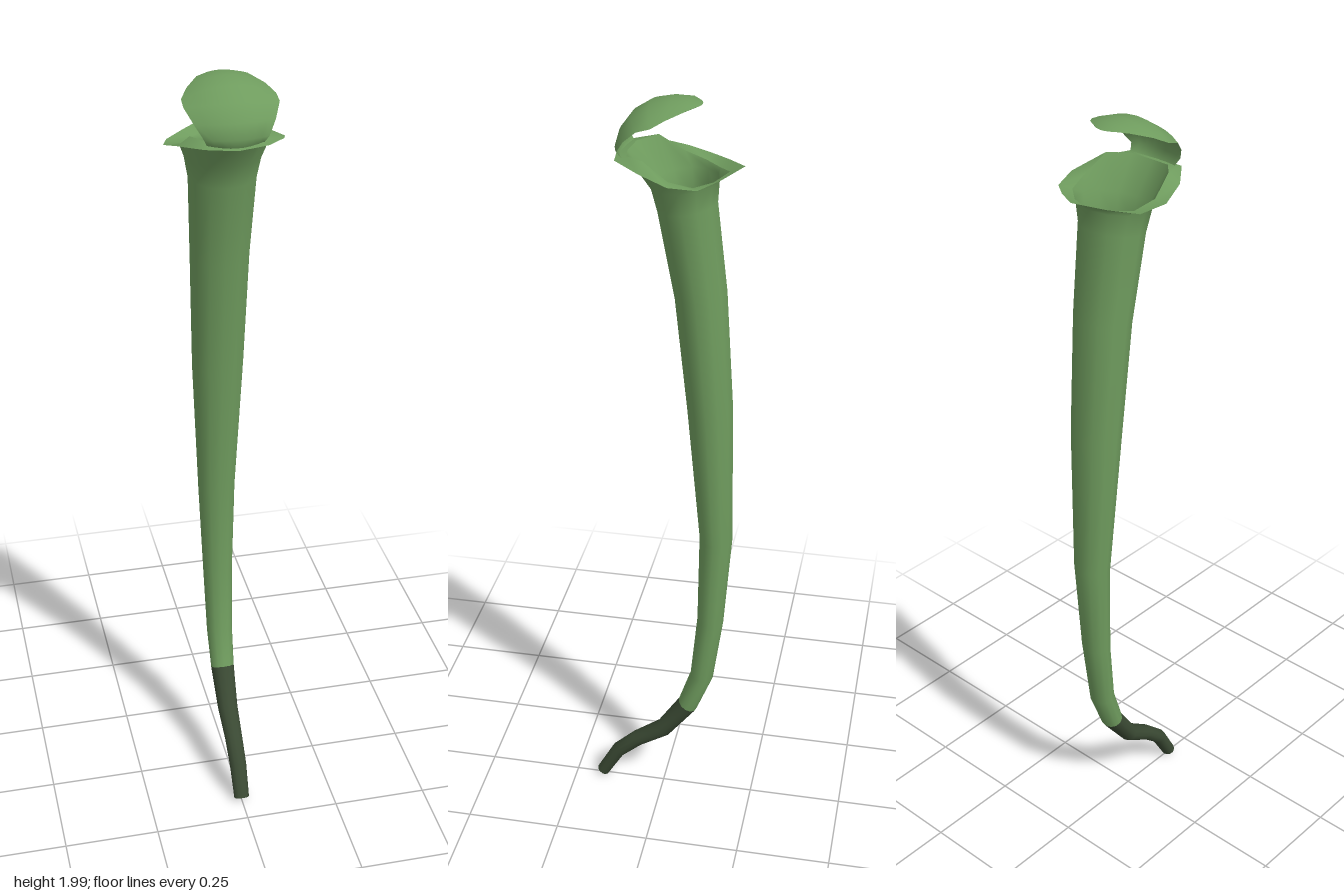
import * as THREE from 'three';

const SIDES = 12;

// Surface through rows of [x, y, z] points
function loft(rows, closed) {
  const n = rows[0].length, index = [];
  for (let r = 0; r < rows.length - 1; r++) {
    for (let i = 0; i < (closed ? n : n - 1); i++) {
      const j = (i + 1) % n;
      const a = r * n + i, b = r * n + j, c = a + n, d = b + n;
      index.push(a, c, b, b, c, d);
    }
  }
  const g = new THREE.BufferGeometry();
  g.setAttribute('position', new THREE.Float32BufferAttribute(rows.flat(2), 3));
  g.setIndex(index);
  g.computeVertexNormals();
  return g;
}

// Rings square to a path in the yz plane; sections are [z, y, radius]
function pathRings(sections) {
  return sections.map(([z, y, r], k) => {
    const p = sections[Math.max(k - 1, 0)], q = sections[Math.min(k + 1, sections.length - 1)];
    const len = Math.hypot(q[0] - p[0], q[1] - p[1]);
    const tz = (q[0] - p[0]) / len, ty = (q[1] - p[1]) / len;
    return Array.from({ length: SIDES }, (_, i) => {
      const a = (i / SIDES) * Math.PI * 2, s = -Math.cos(a) * r;
      return [Math.sin(a) * r * 1.15, y - s * tz, z + s * ty];
    });
  });
}

// Full ring from a half outline running back to front
function mirrored(half) {
  return [...half, ...half.slice(1, -1).reverse().map(([x, y, z]) => [-x, y, z])];
}

export function createModel() {
  const group = new THREE.Group();
  const leafGreen = new THREE.MeshStandardMaterial({ color: 0x6f9c5e, side: THREE.DoubleSide });
  leafGreen.name = 'leaf green';
  const darkGreen = new THREE.MeshStandardMaterial({ color: 0x3a4933, side: THREE.DoubleSide });
  darkGreen.name = 'dark stem green';
  const add = (name, geometry, material) => {
    const mesh = new THREE.Mesh(geometry, material);
    mesh.name = name;
    group.add(mesh);
  };

  // One path for stem and pitcher, so they meet on a shared ring
  const rings = pathRings([
    [0.175, 0.016, 0.018], [0.13, 0.095, 0.02], [0.075, 0.145, 0.021], [0, 0.195, 0.024],
    [-0.068, 0.29, 0.028], [-0.106, 0.395, 0.031], [-0.127, 0.58, 0.035], [-0.138, 0.84, 0.043],
    [-0.117, 1.22, 0.058], [-0.09, 1.53, 0.065], [-0.056, 1.75, 0.073], [-0.05, 1.805, 0.082],
  ]);
  add('stem', loft(rings.slice(0, 5), true), darkGreen);
  add('stemEnd', loft([rings[0].map(() => [0, 0.016, 0.175]), rings[0]], true), darkGreen);

  // Pitcher flares into the mouth
  const mouth = mirrored([
    [0, 1.835, -0.155], [0.05, 1.825, -0.125], [0.095, 1.825, -0.085], [0.108, 1.84, -0.03],
    [0.095, 1.88, 0.03], [0.055, 1.875, 0.075], [0, 1.87, 0.085],
  ]);
  add('pitcher', loft([...rings.slice(4), mouth], true), leafGreen);

  // Spreading lip with a point at the back
  const lip = mirrored([
    [0, 1.85, -0.19], [0.07, 1.838, -0.145], [0.125, 1.83, -0.1], [0.145, 1.84, -0.035],
    [0.125, 1.86, 0.035], [0.075, 1.87, 0.1], [0, 1.865, 0.11],
  ]);
  add('lip', loft([mouth, lip], true), leafGreen);

  // Hood arching back over the mouth: [z, y, half width, edge drop, edge setback]
  const hood = [
    [0.1, 1.868, 0.065, 0, 0.02], [0.11, 1.89, 0.075, 0, 0.015], [0.1, 1.925, 0.094, 0.004, 0.025],
    [0.072, 1.963, 0.111, 0.012, 0.03], [0.03, 1.99, 0.11, 0.03, 0.02], [-0.02, 2, 0.092, 0.025, 0],
    [-0.06, 1.998, 0.06, 0.01, 0], [-0.09, 1.99, 0.032, 0, -0.012],
  ].map(([z, y, w, drop, back]) => Array.from({ length: 9 }, (_, i) => {
    const u = i / 4 - 1;
    return [w * u, y - drop * u * u, z - back * u * u];
  }));
  add('hood', loft(hood, false), leafGreen);

  return group;
}
